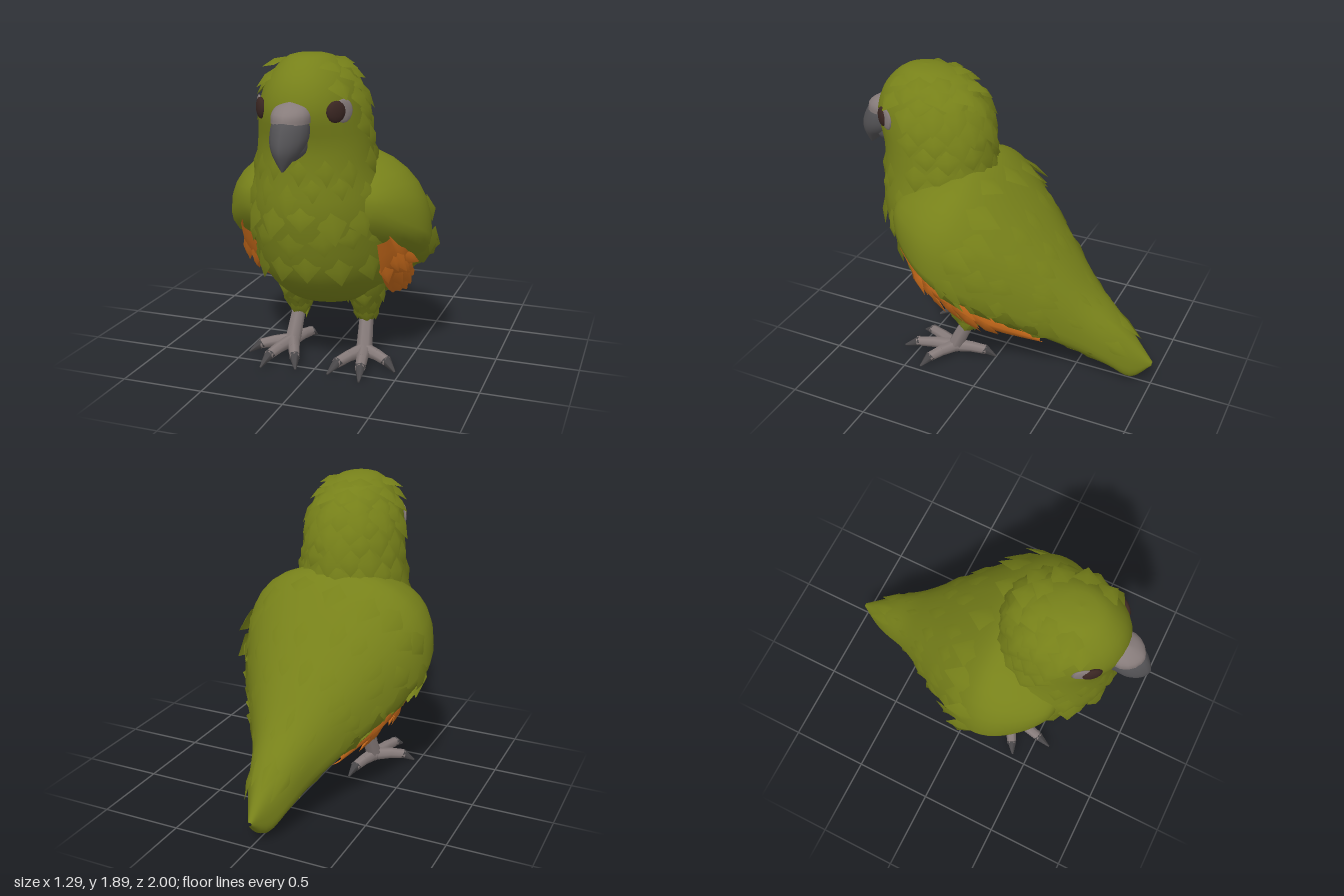
import * as THREE from 'three';
import { mergeGeometries } from 'three/addons/utils/BufferGeometryUtils.js';

const mat = (name, color, side = THREE.FrontSide) => {
  const m = new THREE.MeshStandardMaterial({ color, side });
  m.name = name;
  return m;
};

// Smoothly interpolated table of section values
function rowsAt(rows) {
  const n = rows[0].length;
  const curve = new THREE.CubicInterpolant(rows.map((r, i) => i), rows.flat(), n, new Float32Array(n));
  return u => curve.evaluate(Math.min(Math.max(u, 0), rows.length - 1));
}
const power = (k, p) => Math.sign(k) * Math.abs(k) ** p;
// Horizontal rings: [y, front z, back z, half width]; p above 1 gives a keeled front
function ringSurface(rows, p = 1) {
  const at = rowsAt(rows);
  return (u, a) => {
    const [y, f, b, w] = at(u);
    return new THREE.Vector3(w * power(Math.sin(a), p), y, (f + b) / 2 + (f - b) / 2 * Math.cos(a));
  };
}
// Upright rings: [z, top y, widest y, bottom y, half width], with full shoulders
function arcSurface(rows) {
  const at = rowsAt(rows);
  return (u, a) => {
    const [z, top, mid, low, w] = at(u), s = power(Math.sin(a), 0.85);
    return new THREE.Vector3(w * power(Math.cos(a), 0.85), mid + s * (s > 0 ? top - mid : mid - low), z);
  };
}
function build(points, index) {
  const g = new THREE.BufferGeometry();
  g.setAttribute('position', new THREE.Float32BufferAttribute(points.flatMap(p => p.toArray()), 3));
  g.setIndex(index);
  g.computeVertexNormals();
  return g;
}
// Surface grid, closed around when v covers a full turn
function skin(fn, uMax, nu, nv, vMax = Math.PI * 2) {
  const closed = vMax > 6, cols = closed ? nv : nv + 1, pts = [], idx = [];
  for (let i = 0; i <= nu; i++)
    for (let j = 0; j < cols; j++) pts.push(fn(uMax * i / nu, vMax * j / nv));
  for (let i = 0; i < nu; i++)
    for (let j = 0; j < nv; j++) {
      const a = i * cols + j, b = i * cols + (j + 1) % cols;
      idx.push(a, a + cols, b, b, a + cols, b + cols);
    }
  return build(pts, idx);
}
// Small ridged feather lying on a surface, pointing along u
function feather(fn, u, v, len, wid, lift) {
  const p = fn(u, v), e = 0.03;
  const t = fn(u + e, v).sub(fn(u - e, v)).normalize();
  const s = fn(u, v + e).sub(fn(u, v - e)).normalize();
  const n = t.clone().cross(s).normalize();
  s.crossVectors(n, t);
  const at = (a, b, h) => p.clone().addScaledVector(t, a * len).addScaledVector(s, b * wid).addScaledVector(n, h);
  return build([at(-0.1, 0, -0.012), at(0.45, -0.5, -0.014), at(0.45, 0.5, -0.014),
    at(0.5, 0, lift), at(1, 0, lift * 0.3)], [0, 3, 2, 0, 1, 3, 1, 4, 3, 3, 4, 2]);
}
let seed = 7;
const jitter = k => (seed = (seed * 16807) % 2147483647, (seed / 2147483647 - 0.5) * k);

// Rows of staggered feathers
function plumage(fn, u0, u1, du, v0, v1, count, len, wid, lift) {
  const list = [];
  let row = 0;
  for (let u = u0; u <= u1; u += du, row++)
    for (let i = 0; i < count; i++) {
      const v = v0 + (v1 - v0) * (i + (row % 2 ? 0.75 : 0.25)) / count + jitter(0.08);
      list.push(feather(fn, u + jitter(0.25), v, len * (1 + jitter(0.4)), wid, lift));
    }
  return mergeGeometries(list);
}
// Tapered limb between two points
function limb(a, b, r0, r1, sides = 7) {
  const A = new THREE.Vector3(...a), d = new THREE.Vector3(...b).sub(A);
  const g = new THREE.CylinderGeometry(r1, r0, d.length(), sides);
  g.translate(0, d.length() / 2, 0);
  g.applyQuaternion(new THREE.Quaternion().setFromUnitVectors(new THREE.Vector3(0, 1, 0), d.normalize()));
  return g.translate(A.x, A.y, A.z);
}

export function createModel() {
  const model = new THREE.Group();
  model.name = 'parrot';
  const green = mat('green plumage', 0x77811a);
  const greenFeather = mat('green feather', 0x768019, THREE.DoubleSide);
  const orange = mat('orange feather', 0xc6691a, THREE.DoubleSide);
  const beakGrey = mat('beak grey', 0x545356);
  const skinGrey = mat('skin grey', 0x877c7b);
  const clawGrey = mat('claw grey', 0x4b494b);
  const eyeBrown = mat('eye brown', 0x3a2622);
  const add = (name, geo, m, parent = model) => {
    const mesh = new THREE.Mesh(geo, m);
    mesh.name = name;
    parent.add(mesh);
    return mesh;
  };

  // Head, chest and belly
  const body = ringSurface([
    [1.9, 0.53, 0.529, 0.001], [1.88, 0.66, 0.38, 0.12], [1.8, 0.76, 0.23, 0.21], [1.7, 0.82, 0.17, 0.265],
    [1.58, 0.84, 0.13, 0.295], [1.42, 0.8, 0.11, 0.32], [1.25, 0.8, 0.08, 0.345], [1.05, 0.81, -0.05, 0.4],
    [0.85, 0.77, -0.2, 0.42], [0.65, 0.7, -0.3, 0.41], [0.5, 0.57, -0.38, 0.36], [0.4, 0.4, -0.38, 0.27],
    [0.35, 0.05, 0.049, 0.001]]);
  add('headAndBody', skin(body, 12, 36, 28), green);
  add('crownFeathers', plumage(body, 1, 2.2, 0.6, 0.9, 5.38, 7, 0.15, 0.16, 0.018), greenFeather);
  add('headFeathers', plumage(body, 2.5, 5.4, 0.65, 1.45, 4.83, 8, 0.19, 0.19, 0.026), greenFeather);
  add('chestFeathers', plumage(body, 5.3, 8.6, 0.75, -1.3, 1.3, 6, 0.18, 0.17, 0.018), greenFeather);

  // Folded wings, back and tail as one tapering mantle
  const mantle = arcSurface([
    [0.61, 1.12, 1.05, 0.98, 0.28], [0.57, 1.2, 1.03, 0.88, 0.41], [0.45, 1.28, 0.95, 0.76, 0.53],
    [0.28, 1.33, 0.86, 0.66, 0.615], [0.1, 1.32, 0.77, 0.54, 0.605], [-0.15, 1.1, 0.62, 0.4, 0.475],
    [-0.4, 0.82, 0.46, 0.27, 0.315], [-0.58, 0.61, 0.34, 0.18, 0.21], [-0.75, 0.45, 0.23, 0.11, 0.145],
    [-0.88, 0.31, 0.14, 0.04, 0.08], [-1, 0.17, 0.16, 0.15, 0.012]]);
  add('wingsAndBack', skin(mantle, 10, 40, 32), green);
  add('backFeathers', plumage(mantle, 4, 6.2, 0.8, 0.45, 2.69, 6, 0.22, 0.17, 0.012), greenFeather);
  add('tailFeathers', plumage(mantle, 6.4, 7.6, 0.6, 0.2, 2.94, 4, 0.26, 0.1, 0.012), greenFeather);
  add('underTailFeathers', plumage(mantle, 6.2, 7.6, 0.7, 3.6, 5.8, 4, 0.22, 0.12, 0.01), greenFeather);

  // Underwing band, lower edge against the belly: [z, outer x, outer y, inner x, inner y]
  const underWing = rowsAt([
    [0.5, 0.445, 0.9, 0.385, 0.82], [0.4, 0.485, 0.8, 0.38, 0.62], [0.28, 0.51, 0.74, 0.375, 0.5],
    [0.1, 0.48, 0.6, 0.36, 0.4], [-0.1, 0.385, 0.49, 0.31, 0.33], [-0.35, 0.25, 0.36, 0.21, 0.27]]);
  const panel = (u, v) => {
    const [z, xt, yt, xb, yb] = underWing(u);
    return new THREE.Vector3(xb + (xt - xb) * v + 0.04 * Math.sin(v * Math.PI), yb + (yt - yb) * v, z);
  };

  for (const side of [1, -1]) {
    const half = new THREE.Group();
    half.name = side > 0 ? 'leftSide' : 'rightSide';
    half.scale.x = side;
    model.add(half);

    // Wing feathers and the orange underwing
    add('wingFeathers', plumage(mantle, 3.5, 6, 0.65, -0.65, 0.5, 4, 0.22, 0.17, 0.014), greenFeather, half);
    add('underwing', skin(panel, 5, 12, 5, 1), orange, half);
    add('underwingFeathers', plumage(panel, 0.6, 4, 0.7, 0.1, 0.9, 3, 0.19, 0.09, 0.014), orange, half);

    // Eye with its patch of bare skin
    for (const [name, a, r, m] of [['eyeSkin', 1.0, 0.066, skinGrey], ['eye', 0.85, 0.06, eyeBrown]]) {
      const eye = add(name, new THREE.SphereGeometry(r, 10, 8), m, half);
      eye.position.copy(body(3.8, a));
      eye.scale.z = name === 'eye' ? 0.38 : 0.2;
      eye.rotation.y = a;
    }

    // Feathered thigh
    const thigh = ringSurface([[0.62, 0.42, 0.0, 0.13], [0.48, 0.38, 0.02, 0.125], [0.36, 0.3, 0.06, 0.095],
      [0.24, 0.22, 0.12, 0.05], [0.22, 0.18, 0.16, 0.01]]);
    add('thigh', skin(thigh, 4, 10, 12), green, half).position.x = 0.22;
    const cuff = plumage(thigh, 1, 2.4, 0.6, 0, 6.28, 5, 0.13, 0.1, 0.01);
    add('thighFeathers', cuff, greenFeather, half).position.x = 0.22;

    // Leg, toes and claws
    const foot = [limb([0.22, 0.3, 0.16], [0.235, 0.08, 0.26], 0.042, 0.05),
      new THREE.SphereGeometry(0.052, 8, 6).translate(0.235, 0.075, 0.26)];
    const claws = [];
    for (const [x, z] of [[0.1, 0.56], [0.31, 0.6], [0.47, 0.4], [0.17, 0]]) {
      const on = (k, y) => [0.235 + (x - 0.235) * k, y, 0.26 + (z - 0.26) * k];
      foot.push(limb(on(0, 0.07), on(0.45, 0.07), 0.044, 0.035), limb(on(0.4, 0.07), on(0.76, 0.058), 0.036, 0.031));
      claws.push(limb(on(0.7, 0.064), on(1, 0.012), 0.035, 0.006, 6));
    }
    add('foot', mergeGeometries(foot), skinGrey, half);
    add('claws', mergeGeometries(claws), clawGrey, half);
  }

  // Hooked beak with the bare cere above it
  add('upperBeak', skin(ringSurface([[1.63, 0.87, 0.74, 0.06], [1.56, 0.95, 0.7, 0.1], [1.48, 0.99, 0.7, 0.105],
    [1.42, 1, 0.76, 0.085], [1.37, 0.985, 0.86, 0.05], [1.31, 0.955, 0.94, 0.006]], 1.4), 5, 15, 18), beakGrey);
  add('lowerBeak', skin(ringSurface([[1.45, 0.9, 0.7, 0.085], [1.39, 0.89, 0.72, 0.075], [1.345, 0.84, 0.77, 0.02]]),
    2, 6, 12), beakGrey);
  add('cere', skin(ringSurface([[1.665, 0.83, 0.77, 0.02], [1.64, 0.885, 0.74, 0.08], [1.6, 0.935, 0.7, 0.108],
    [1.555, 0.945, 0.7, 0.108]], 1.25), 3, 8, 18), skinGrey);
  return model;
}
